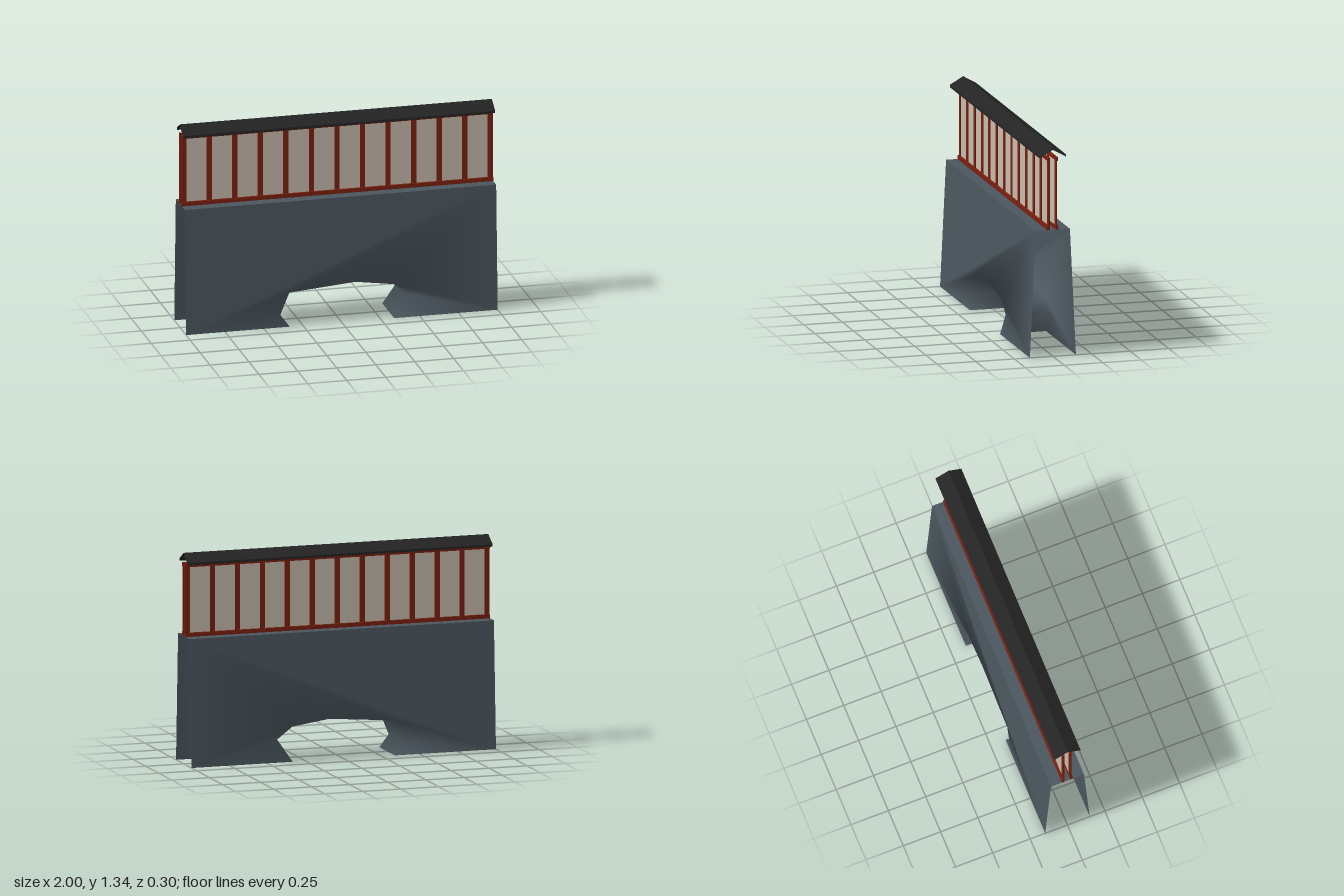
import * as THREE from 'three';

const mat = (name, color, side = THREE.FrontSide) => {
  const m = new THREE.MeshStandardMaterial({ color, side });
  m.name = name;
  return m;
};

// Battered wall: half depth shrinks with height
const halfDepth = (y) => 0.149 - 0.048 * y;
const WALL_TOP = 0.808;

// Front and back faces with a rough arch; the arch lining shares smooth normals
function wallGeometry() {
  const arch = [[-0.335, 0], [-0.395, 0.08], [-0.335, 0.22], [0.09, 0.255],
    [0.335, 0.22], [0.435, 0.145], [0.335, 0]];
  const outline = [[-1, 0], ...arch, [1, 0], [1, WALL_TOP], [-1, WALL_TOP]]
    .map(([x, y]) => new THREE.Vector2(x, y));
  const n = outline.length, last = arch.length;
  const pos = [], nor = [], index = [];

  for (const s of [1, -1]) {
    outline.forEach((p, i) => {
      const normal = new THREE.Vector3(0, 0.05, s);
      if (i >= 1 && i <= last) {
        const a = outline[Math.max(i - 1, 1)], b = outline[Math.min(i + 1, last)];
        normal.add(new THREE.Vector3(b.y - a.y, a.x - b.x, 0).normalize());
      }
      normal.normalize();
      pos.push(p.x, p.y, s * halfDepth(p.y));
      nor.push(normal.x, normal.y, normal.z);
    });
  }
  for (const [a, b, c] of THREE.ShapeUtils.triangulateShape(outline, [])) {
    index.push(a, b, c, a + n, c + n, b + n);
  }
  for (let i = 1; i < last; i++) {
    index.push(i, i + n, i + 1, i + 1, i + n, i + 1 + n);
  }
  const g = new THREE.BufferGeometry();
  g.setAttribute('position', new THREE.Float32BufferAttribute(pos, 3));
  g.setAttribute('normal', new THREE.Float32BufferAttribute(nor, 3));
  g.setIndex(index);
  return g;
}

// Closed [z, y] profile swept along x, with open ends
function sweepX(profile) {
  const pos = [];
  profile.forEach(([z, y], i) => {
    const [z2, y2] = profile[(i + 1) % profile.length];
    pos.push(-1, y, z, 1, y, z, 1, y2, z2, -1, y, z, 1, y2, z2, -1, y2, z2);
  });
  const g = new THREE.BufferGeometry();
  g.setAttribute('position', new THREE.Float32BufferAttribute(pos, 3));
  g.computeVertexNormals();
  return g;
}

export function createModel() {
  const stone = mat('slate stone', 0x4b565e, THREE.DoubleSide);
  const timber = mat('red timber', 0x7a200e);
  const plaster = mat('cream plaster', 0xc6baab, THREE.DoubleSide);
  const tile = mat('dark roof tile', 0x242424, THREE.DoubleSide);

  const model = new THREE.Group();
  model.name = 'coveredWall';
  const add = (parent, name, geometry, material, x = 0, y = 0, z = 0) => {
    const mesh = new THREE.Mesh(geometry, material);
    mesh.name = name;
    mesh.position.set(x, y, z);
    parent.add(mesh);
    return mesh;
  };

  // Stone base and its flat top
  add(model, 'stoneWall', wallGeometry(), stone);
  const top = new THREE.PlaneGeometry(2, 2 * halfDepth(WALL_TOP)).rotateX(-Math.PI / 2);
  add(model, 'wallTop', top, stone, 0, WALL_TOP, 0);

  // Timber-framed screens, one per side
  const sill = new THREE.BoxGeometry(2, 0.025, 0.018);
  const head = new THREE.BoxGeometry(2, 0.022, 0.014);
  const post = new THREE.BoxGeometry(0.033, 0.42, 0.009);
  const panel = new THREE.PlaneGeometry(2, 0.42);
  for (const [name, turn] of [['frontScreen', 0], ['backScreen', Math.PI]]) {
    const screen = new THREE.Group();
    screen.name = name;
    screen.rotation.y = turn;
    add(screen, 'sill', sill, timber, 0, 0.8205, 0.028);
    add(screen, 'headRail', head, timber, 0, 1.259, 0.026);
    add(screen, 'plasterPanel', panel, plaster, 0, 1.04, 0.022);
    for (let i = 0; i < 13; i++) {
      add(screen, 'post', post, timber, -0.9835 + i * 0.1639, 1.04, 0.0235);
    }
    model.add(screen);
  }

  // Shallow gabled roof slab
  add(model, 'roof', sweepX([[0.086, 1.285], [0, 1.335], [-0.086, 1.285],
    [-0.086, 1.27], [0, 1.32], [0.086, 1.27]]), tile);

  return model;
}
